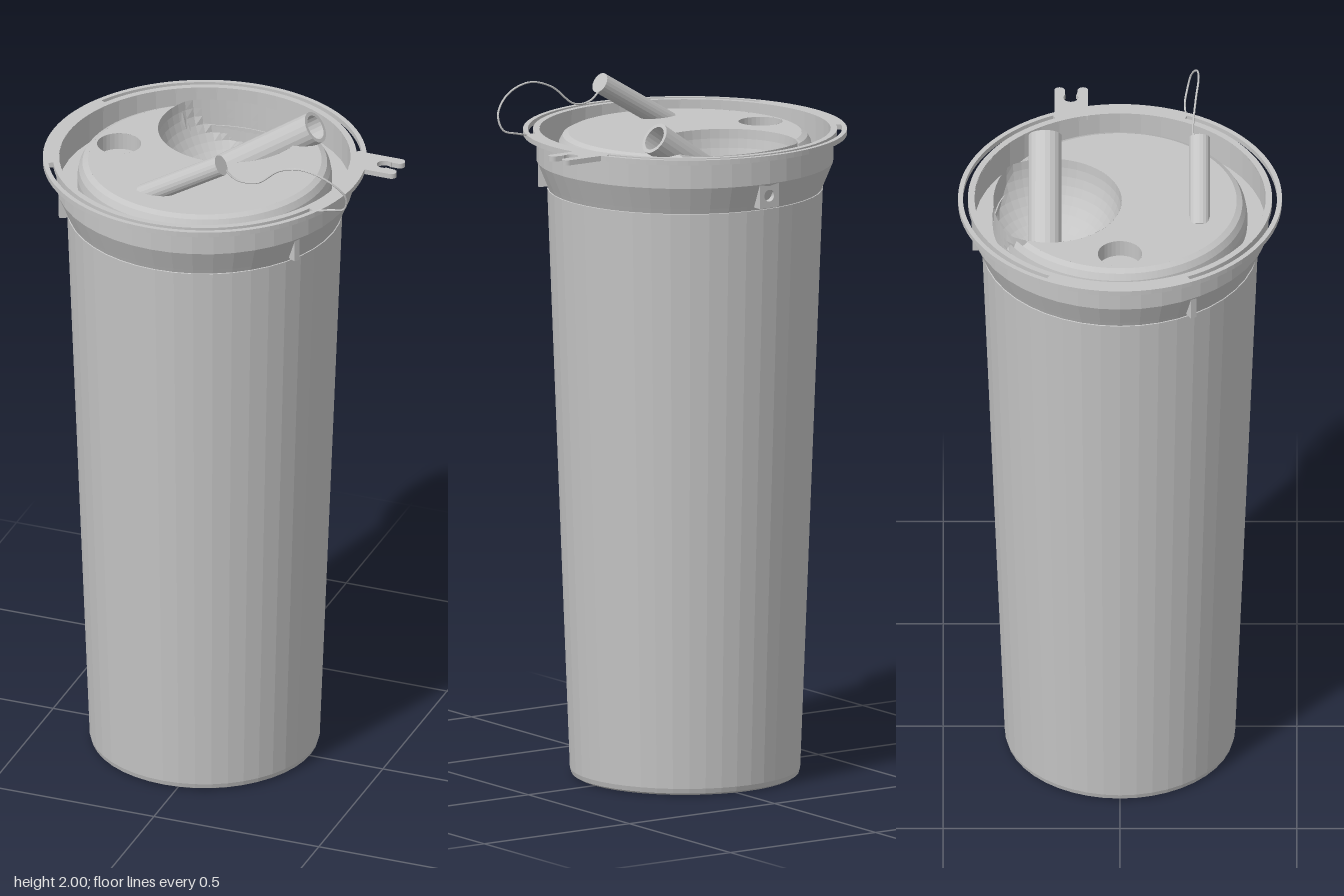
import * as THREE from 'three';

const V2 = (x, y) => new THREE.Vector2(x, y);
const V3 = (x, y, z) => new THREE.Vector3(x, y, z);

export function createModel() {
  const model = new THREE.Group();
  model.name = 'tumbler';
  const grey = new THREE.MeshStandardMaterial({ color: 0xc4c4c4, flatShading: true, side: THREE.DoubleSide });
  grey.name = 'plain grey';

  // round parts share an axis slightly off the middle, because of the tab
  const round = new THREE.Group();
  round.name = 'cupAndLid';
  round.position.x = -0.04;
  model.add(round);

  const add = (parent, name, geometry) => {
    const mesh = new THREE.Mesh(geometry, grey);
    mesh.name = name;
    parent.add(mesh);
    return mesh;
  };
  const lathe = (points, segments) => new THREE.LatheGeometry(points.map(p => V2(...p)), segments);
  // plan-view shape (x, -z) laid flat, rising from y
  const slab = (shape, y, depth) => new THREE.ExtrudeGeometry(shape, { depth, bevelEnabled: false, curveSegments: 48 })
    .rotateX(-Math.PI / 2).translate(0, y, 0);
  // aim a mesh built along +y from one point to another
  const aim = (mesh, from, to) => {
    mesh.position.copy(from);
    mesh.quaternion.setFromUnitVectors(V3(0, 1, 0), to.clone().sub(from).normalize());
  };

  // cup
  add(round, 'cup', lathe([[0, 0], [0.312, 0], [0.322, 0.006], [0.326, 0.02], [0.39, 1.69], [0.375, 1.695]], 44));

  // lid rim with the groove inside it
  add(round, 'lidRim', lathe([[0.385, 1.685], [0.393, 1.705], [0.42, 1.77], [0.42, 1.85], [0.412, 1.858],
    [0.412, 1.77], [0.355, 1.77]], 44));

  // flange with a long slot in front and behind
  const flange = new THREE.Shape().absarc(0, 0, 0.458, 0, Math.PI * 2, false);
  flange.holes.push(new THREE.Path().absarc(0, 0, 0.412, 0, Math.PI * 2, true));
  for (const start of [0.44, 0.44 + Math.PI]) {
    const end = start + (start < 1 ? 2.22 : 2.26);
    const from = start < 1 ? start : start + 0.02;
    const slot = new THREE.Path();
    slot.absarc(0, 0, 0.444, from, end, false);
    slot.absarc(0, 0, 0.43, end, from, true);
    slot.closePath();
    flange.holes.push(slot);
  }
  add(round, 'flange', slab(flange, 1.845, 0.015));

  // forked tab
  const tab = new THREE.Shape();
  tab.moveTo(0.36, 0.09);
  tab.lineTo(0.482, 0.09);
  tab.absarc(0.485, 0.105, 0.015, -Math.PI / 2, Math.PI / 2, false);
  tab.lineTo(0.465, 0.122);
  tab.absarc(0.45, 0.139, 0.021, -0.8, 0.8, true);
  tab.lineTo(0.465, 0.156);
  tab.absarc(0.485, 0.171, 0.015, -Math.PI / 2, Math.PI / 2, false);
  tab.lineTo(0.36, 0.186);
  add(model, 'forkedTab', slab(tab, 1.845, 0.015));

  // lid top, cut away around the round bowl and the drinking hole
  const TOP = 1.85, FLAT = 0.33, BOWL = 0.205, BZ = 0.2;
  const cutY = (FLAT * FLAT - BOWL * BOWL + BZ * BZ) / (2 * BZ);
  const cutX = Math.sqrt(FLAT * FLAT - cutY * cutY);
  const edge = Math.atan2(cutY, cutX), lip = Math.atan2(cutY - BZ, cutX);
  const top = new THREE.Shape();
  top.absarc(0, 0, FLAT, Math.PI - edge, Math.PI * 2 + edge, false);
  top.absarc(0, BZ, BOWL, lip, Math.PI - lip, true);
  top.holes.push(new THREE.Path().absarc(-0.26, 0, 0.0625, 0, Math.PI * 2, true));
  add(round, 'lidTop', new THREE.ShapeGeometry(top, 48).rotateX(-Math.PI / 2).translate(0, TOP, 0));
  add(round, 'drinkingHole', lathe([[0.0625, TOP], [0.0625, TOP - 0.05], [0, TOP - 0.05]], 32)).position.x = -0.26;

  // rounded lid shoulder, lowered wherever the bowl cuts into it
  const shoulder = lathe([[0.36, 1.77], [0.36, 1.8], [0.356, 1.824], [0.346, 1.842], [0.33, TOP]], 144);
  const sp = shoulder.attributes.position;
  for (let i = 0; i < sp.count; i++) {
    const x = sp.getX(i), z = sp.getZ(i), inside = BOWL * BOWL - x * x - (z + BZ) ** 2;
    if (inside > 0 && Math.hypot(x, z) < 0.359) sp.setY(i, Math.min(sp.getY(i), TOP - Math.sqrt(inside) - 0.003));
  }
  add(round, 'lidShoulder', shoulder);

  // bowl: half a sphere kept within the lid's wall
  const bowl = new THREE.SphereGeometry(BOWL, 48, 12, 0, Math.PI * 2, Math.PI / 2, Math.PI / 2).translate(0, TOP, -BZ);
  const bp = bowl.attributes.position;
  for (let i = 0; i < bp.count; i++) {
    const r = Math.hypot(bp.getX(i), bp.getZ(i));
    if (r > 0.358) {
      bp.setX(i, bp.getX(i) * 0.358 / r);
      bp.setZ(i, bp.getZ(i) * 0.358 / r);
    }
  }
  add(round, 'bowl', bowl);

  // hollow spout rising out of the bowl, with its small side pipe
  const spoutBase = V3(-0.115, 1.67, -0.212), spoutEnd = V3(0.213, 1.896, -0.212);
  const length = spoutBase.distanceTo(spoutEnd);
  aim(add(model, 'spout', lathe([[0.047, 0], [0.047, length], [0.036, length], [0.036, 0]], 20)), spoutBase, spoutEnd);
  const pipe = new THREE.CylinderGeometry(0.02, 0.02, 0.14, 16).rotateX(Math.PI / 2);
  add(model, 'sidePipe', pipe).position.set(-0.07, 1.705, -0.285);

  // solid slanted plug
  const plugBase = V3(-0.14, 1.829, 0.225), plugEnd = V3(0.097, 1.97, 0.225);
  const plugLength = plugBase.distanceTo(plugEnd);
  const plug = new THREE.CylinderGeometry(0.03, 0.03, plugLength, 20).translate(0, plugLength / 2, 0);
  aim(add(model, 'plug', plug), plugBase, plugEnd);

  // thin looping cord from the plug to the flange
  const cord = new THREE.CatmullRomCurve3([
    V3(0.1, 1.955, 0.215), V3(0.14, 1.925, 0.212), V3(0.2, 1.925, 0.206), V3(0.27, 1.98, 0.214),
    V3(0.34, 2.0, 0.222), V3(0.42, 1.975, 0.217), V3(0.465, 1.925, 0.2), V3(0.455, 1.88, 0.189),
    V3(0.41, 1.866, 0.183), V3(0.36, 1.855, 0.187),
  ]);
  add(model, 'cord', new THREE.TubeGeometry(cord, 64, 0.003, 6));

  // two gussets at the front and a pierced lug at the back, under the rim
  for (const side of [-1, 1]) {
    const holder = new THREE.Group();
    holder.name = 'gussetHolder';
    holder.rotation.y = side * Math.PI / 3;
    add(holder, 'gusset', new THREE.BoxGeometry(0.018, 0.07, 0.04)).position.set(0, 1.735, 0.397);
    round.add(holder);
  }
  const lug = new THREE.Shape([V2(-0.033, 0), V2(0.033, 0), V2(0.033, 0.07), V2(-0.033, 0.07)]);
  lug.holes.push(new THREE.Path().absarc(0, 0.035, 0.017, 0, Math.PI * 2, true));
  add(round, 'lug', new THREE.ExtrudeGeometry(lug, { depth: 0.035, bevelEnabled: false })).position.set(0, 1.7, -0.417);

  return model;
}
